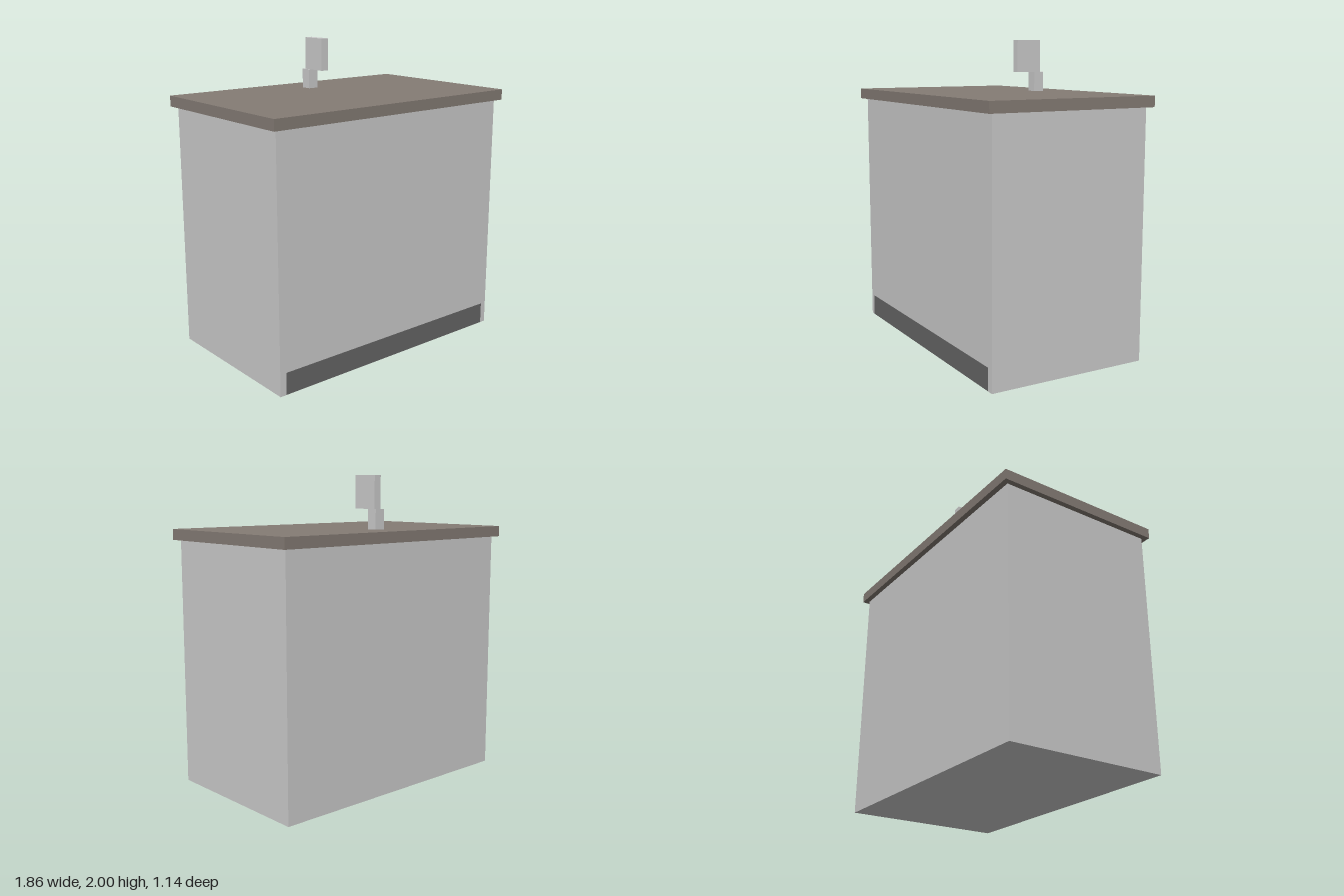
import * as THREE from 'three';

export function createModel() {
  const group = new THREE.Group();
  const grey = new THREE.MeshStandardMaterial({ color: 0xcccccc });
  const stone = new THREE.MeshStandardMaterial({ color: 0x857c75 });
  const dark = new THREE.MeshStandardMaterial({ color: 0x666666 });

  // Box given by its extents along x (half width), y and z
  const block = (name, halfX, [y0, y1], [z0, z1], material) => {
    const mesh = new THREE.Mesh(new THREE.BoxGeometry(2 * halfX, y1 - y0, z1 - z0), material);
    mesh.position.set(0, (y0 + y1) / 2, (z0 + z1) / 2);
    mesh.name = name;
    group.add(mesh);
  };

  // Cabinet with a dark toe kick set just proud of its front
  block('cabinet', 0.893, [0, 1.594], [-0.535, 0.535], grey);
  block('toeKick', 0.85, [0.002, 0.143], [0.1, 0.537], dark);

  // Overhanging worktop
  block('countertop', 0.928, [1.594, 1.663], [-0.571, 0.571], stone);

  // Tap: upright stem at the back, spout reaching forward
  block('faucetStem', 0.036, [1.663, 1.79], [-0.357, -0.286], grey);
  block('faucetSpout', 0.026, [1.79, 2], [-0.336, -0.161], grey);

  return group;
}
